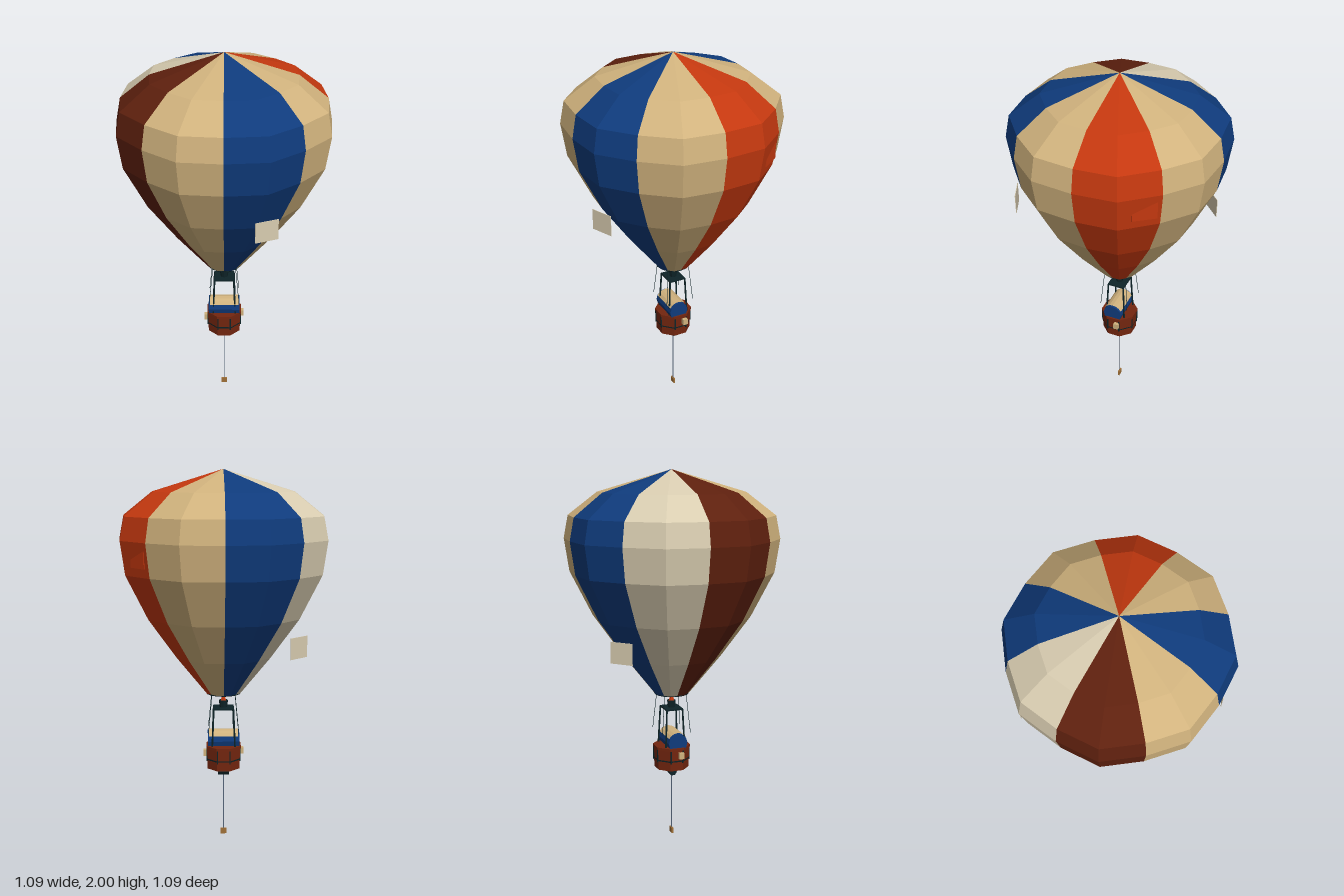
import * as THREE from 'three';

const mat = (name, color, flat = true) => {
  const m = new THREE.MeshStandardMaterial({ color, flatShading: flat, side: THREE.DoubleSide });
  m.name = name;
  return m;
};

export function createModel() {
  const model = new THREE.Group();
  model.name = 'hotAirBalloon';
  const tan = mat('tan cloth', 0xd0b27d), blue = mat('blue cloth', 0x0f3b7c), red = mat('red cloth', 0xc4380f);
  const maroon = mat('maroon cloth', 0x5e200e), cream = mat('cream cloth', 0xd8ccb0);
  const wicker = mat('basket brown', 0x74260f), iron = mat('dark iron', 0x0e2428);
  const steel = mat('cable grey', 0x56657a), wood = mat('wood', 0xa07038);

  const add = (name, geo, material, x = 0, y = 0, z = 0, parent = model) => {
    const mesh = new THREE.Mesh(geo, material);
    mesh.name = name;
    mesh.position.set(x, y, z);
    parent.add(mesh);
    return mesh;
  };
  const rod = (name, a, b, r, material) => {
    const p = new THREE.Vector3(...a), q = new THREE.Vector3(...b);
    const d = q.clone().sub(p);
    const mesh = add(name, new THREE.CylinderGeometry(r, r, d.length(), 5), material);
    mesh.position.copy(p).lerp(q, 0.5);
    mesh.quaternion.setFromUnitVectors(new THREE.Vector3(0, 1, 0), d.normalize());
    return mesh;
  };

  // Envelope: eight gores, each two facets wide and slightly puffed in the middle
  const rings = [[0, 2], [0.372, 1.885], [0.522, 1.765], [0.545, 1.645], [0.52, 1.47], [0.405, 1.235], [0.255, 1.02], [0.092, 0.812]];
  const point = (ring, k) => {
    const a = k * Math.PI / 8, r = rings[ring][0] * (k % 2 ? 1.042 : 1);
    return [r * Math.cos(a), rings[ring][1], r * Math.sin(a)];
  };
  const envelope = new THREE.Group();
  envelope.name = 'envelope';
  model.add(envelope);
  [tan, blue, tan, maroon, cream, blue, tan, red].forEach((material, i) => {
    const pos = [];
    for (let k = i * 2; k < i * 2 + 2; k++) {
      for (let j = 0; j < rings.length - 1; j++) {
        const a = point(j, k), b = point(j, k + 1), c = point(j + 1, k + 1), d = point(j + 1, k);
        if (j > 0) pos.push(...a, ...b, ...c);
        pos.push(...a, ...c, ...d);
      }
    }
    const geo = new THREE.BufferGeometry();
    geo.setAttribute('position', new THREE.Float32BufferAttribute(pos, 3));
    geo.computeVertexNormals();
    add('gore' + (i + 1), geo, material, 0, 0, 0, envelope);
  });
  const rim = add('mouthRim', new THREE.TorusGeometry(0.092, 0.004, 4, 16), iron, 0, 0.812, 0);
  rim.rotation.x = Math.PI / 2;

  // Loose cloth patches around the envelope, facing outwards
  const patch = (material, x, y, z) => {
    const p = add('clothPatch', new THREE.BoxGeometry(0.122, 0.108, 0.003), material, x, y, z);
    p.rotation.y = Math.atan2(x, z);
  };
  patch(cream, 0.207, 1.275, 0.495);
  patch(cream, -0.367, 1.13, -0.39);
  patch(red, 0.43, 1.57, -0.315);

  // Burner, its plate and flame
  add('burnerPlate', new THREE.BoxGeometry(0.11, 0.008, 0.095), iron, 0, 0.726, 0);
  add('burner', new THREE.CylinderGeometry(0.025, 0.02, 0.038, 8), iron, 0, 0.749, 0);
  add('flame', new THREE.ConeGeometry(0.016, 0.048, 6), red, 0, 0.792, 0);

  // Frame posts and suspension lines
  for (const sx of [-1, 1]) {
    for (const sz of [-1, 1]) {
      rod('framePost', [sx * 0.053, 0.726, sz * 0.045], [sx * 0.062, 0.5, sz * 0.055], 0.005, iron);
      rod('suspensionLine', [sx * 0.062, 0.812, sz * 0.062], [sx * 0.082, 0.6, sz * 0.08], 0.0015, iron);
    }
  }

  // Basket: octagonal tub with rim, band and upright straps
  const tub = (name, top, bottom, h, y, material, open) => {
    const m = add(name, new THREE.CylinderGeometry(top, bottom, h, 8, 1, open), material, 0, y, 0);
    m.rotation.y = Math.PI / 8;
  };
  tub('basket', 0.099, 0.094, 0.125, 0.453, wicker, false);
  tub('basketRim', 0.102, 0.102, 0.014, 0.512, wicker, false);
  tub('basketBand', 0.1, 0.099, 0.008, 0.445, iron, true);
  for (let i = 0; i < 4; i++) {
    for (const s of [-1, 1]) {
      const side = new THREE.Group();
      side.name = 'strapSide';
      side.rotation.y = i * Math.PI / 2;
      model.add(side);
      add('strap', new THREE.BoxGeometry(0.007, 0.075, 0.005), iron, s * 0.034, 0.47, 0.091, side);
    }
  }

  // Side bags
  for (const s of [-1, 1]) add('sideBag', new THREE.BoxGeometry(0.02, 0.034, 0.028), tan, s * 0.1, 0.478, s * -0.022);

  // Bedroll on top: blue roll with a tan cover over its upper half
  const roll = add('bedroll', new THREE.CylinderGeometry(0.053, 0.053, 0.172, 12), blue, 0, 0.545, 0.008);
  roll.rotation.z = Math.PI / 2;
  const cover = new THREE.CylinderGeometry(0.057, 0.057, 0.158, 6, 1, true, -Math.PI / 3, Math.PI * 2 / 3);
  cover.rotateY(Math.PI / 2);
  cover.rotateZ(Math.PI / 2);
  add('bedrollCover', cover, tan, 0, 0.545, 0.008);

  // Winch under the basket, cable and weight
  const winch = add('winch', new THREE.CylinderGeometry(0.021, 0.021, 0.06, 6), iron, 0, 0.364, 0);
  winch.rotation.z = Math.PI / 2;
  add('winchMount', new THREE.BoxGeometry(0.03, 0.02, 0.02), iron, 0, 0.385, 0);
  const cable = add('cable', new THREE.PlaneGeometry(0.008, 0.32), steel, 0, 0.188, 0);
  cable.rotation.y = Math.PI / 4;
  add('weight', new THREE.BoxGeometry(0.034, 0.03, 0.01), wood, 0, 0.015, 0);

  return model;
}
